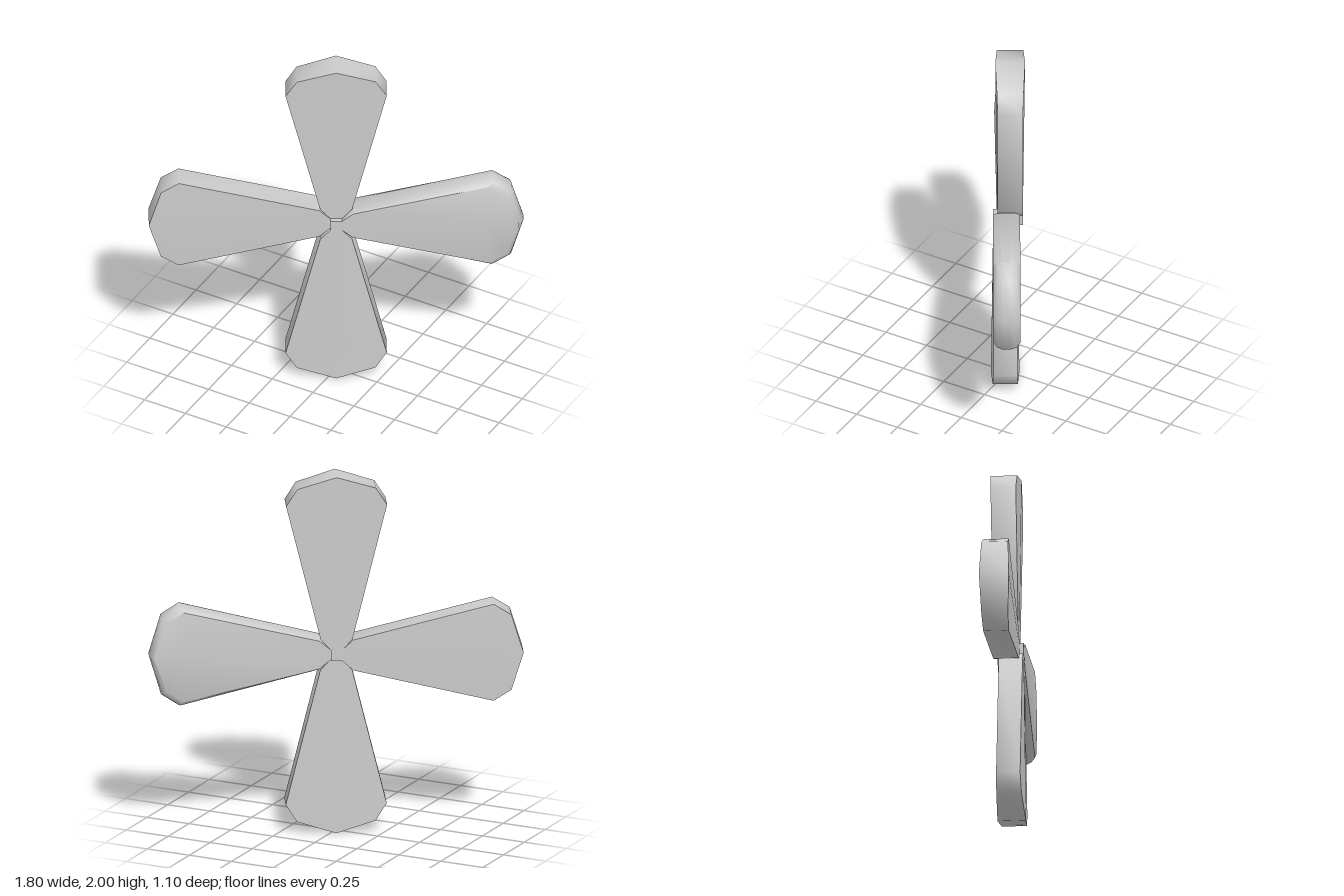
import * as THREE from 'three';
import { toCreasedNormals } from 'three/addons/utils/BufferGeometryUtils.js';

// Half width of a blade at each distance from the hub; the tip lies at (0, 1)
const ROWS = [[0.03, 0.03], [0.085, 0.09], [0.27, 0.84], [0.21, 0.935]];
const TIP = ROWS.length;
const COUNT = 2 * TIP + 1;

// Blade along +y, stacked from outlines: levels = [depth, inset] from back to front
function bladeGeometry(levels, ridge, widen = 1) {
  const outline = [
    ...ROWS.map(([u, r]) => [u * widen, r]),
    [0, 1],
    ...ROWS.map(([u, r]) => [-u * widen, r]).reverse(),
  ];
  const last = levels.length - 1;
  // Slight swelling of the faces along the centre line
  const swell = (u, r, j) => {
    const h = ridge * r * Math.max(0, 1 - Math.abs(u) / (0.04 + 0.28 * r));
    return j === 0 ? -h : j === last ? h : 0;
  };
  const rings = levels.map(([w, inset], j) => outline.map(([u, r]) => {
    const x = Math.sign(u) * Math.max(0.02, Math.abs(u) - inset * Math.min(1, r * 4)) * (u ? 1 : 0);
    const y = r > 0.5 ? r - inset * 0.8 : r;
    return [x, y, w + swell(u, r, j)];
  }));
  const pos = [];
  const tri = (...p) => pos.push(...p.flat());
  const quad = (a, b, c, d) => { tri(a, b, c); tri(a, c, d); };

  // Rim
  for (let j = 0; j < last; j++) {
    for (let i = 0; i < COUNT; i++) {
      const n = (i + 1) % COUNT;
      quad(rings[j][i], rings[j][n], rings[j + 1][n], rings[j + 1][i]);
    }
  }
  // Back and front faces, each in two halves that meet at the ridge
  for (const j of [0, last]) {
    const ring = rings[j];
    const centre = ROWS.map(([, r], i) => [0, ring[i][1], levels[j][0] + swell(0, r, j)]);
    const face = (...p) => {
      if (j === 0) p.reverse();
      if (p.length === 4) quad(...p); else tri(...p);
    };
    for (let i = 0; i < TIP - 1; i++) {
      const l = COUNT - 1 - i;
      face(centre[i], ring[i], ring[i + 1], centre[i + 1]);
      face(ring[l], centre[i], centre[i + 1], ring[l - 1]);
    }
    face(centre[TIP - 1], ring[TIP - 1], ring[TIP]);
    face(ring[TIP + 1], centre[TIP - 1], ring[TIP]);
  }
  const geo = new THREE.BufferGeometry();
  geo.setAttribute('position', new THREE.Float32BufferAttribute(pos, 3));
  return toCreasedNormals(geo, 0.85);
}

export function createModel() {
  const model = new THREE.Group();
  model.name = 'crossRotor';
  const material = new THREE.MeshStandardMaterial({ color: 0xcccccc });
  const rotor = new THREE.Group();
  rotor.name = 'rotor';
  rotor.position.y = 1;
  rotor.rotation.y = Math.PI / 6;
  model.add(rotor);

  const add = (name, geometry, turn = 0) => {
    const mesh = new THREE.Mesh(geometry, material);
    mesh.name = name;
    mesh.rotation.z = turn;
    rotor.add(mesh);
  };

  // Three sharp-edged blades, staggered a little in depth
  add('topBlade', bladeGeometry([[-0.08, 0], [0.055, 0]], 0.012));
  add('rightBlade', bladeGeometry([[-0.078, 0], [0.058, 0]], 0.012), Math.PI / 2);
  add('bottomBlade', bladeGeometry([[-0.05, 0], [0.078, 0]], 0.012), Math.PI);

  // Fourth blade with a rounded rim and flat faces
  add('leftBlade', bladeGeometry(
    [[-0.065, 0.03], [-0.045, 0.008], [-0.01, 0], [0.03, 0], [0.06, 0.01], [0.08, 0.03]], 0, 1.04,
  ), -Math.PI / 2);

  // Square hub pin
  add('hubPin', new THREE.BoxGeometry(0.06, 0.06, 0.16));
  return model;
}
